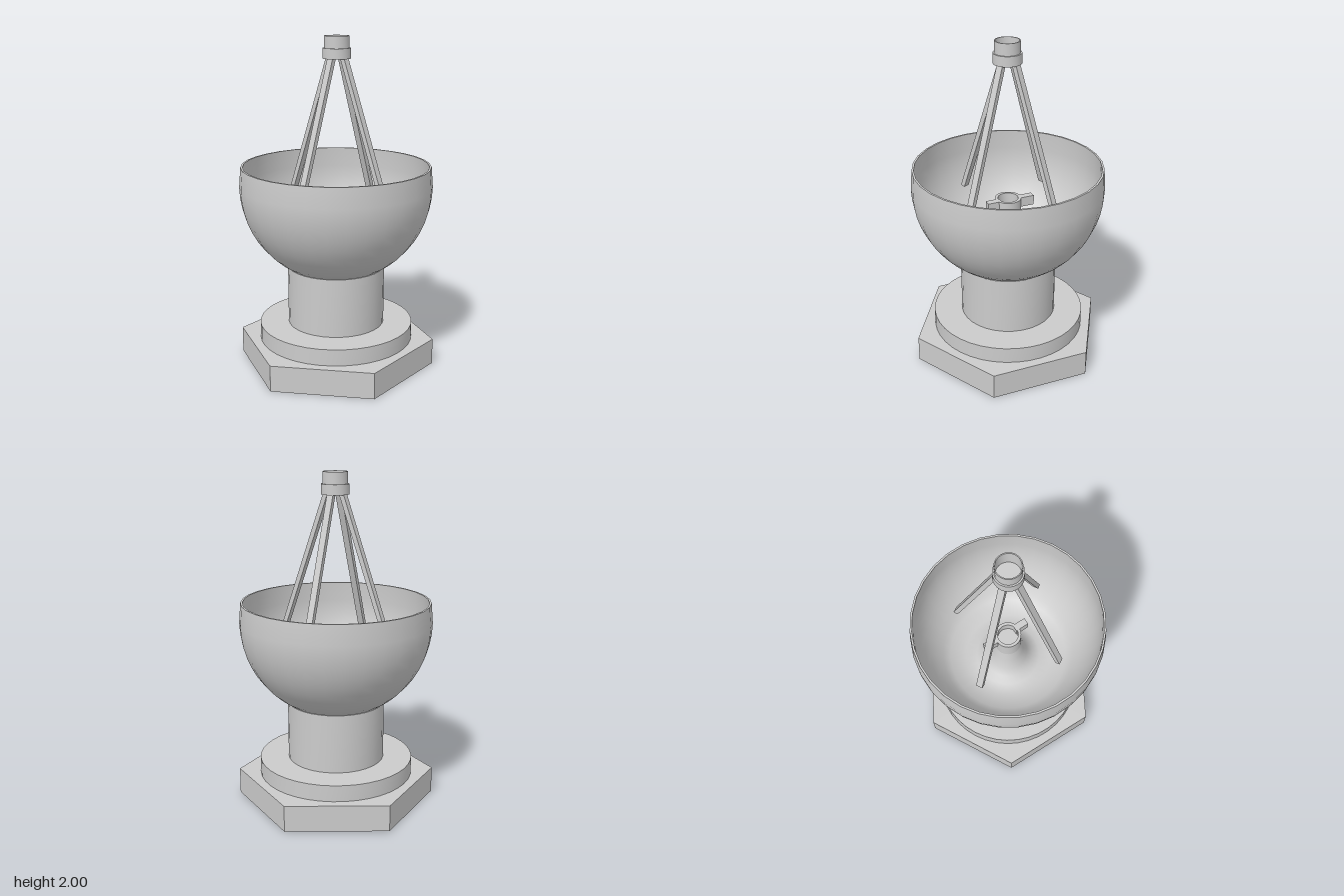
import * as THREE from 'three';
import { toCreasedNormals } from 'three/addons/utils/BufferGeometryUtils.js';

const material = new THREE.MeshStandardMaterial({ color: 0xcccccc });
const openMaterial = new THREE.MeshStandardMaterial({ color: 0xcccccc, side: THREE.DoubleSide });

export function createModel() {
  const model = new THREE.Group();

  const add = (name, geometry, mat = material) => {
    const mesh = new THREE.Mesh(geometry, mat);
    mesh.name = name;
    model.add(mesh);
    return mesh;
  };
  // Solid cylinder between two heights
  const drum = (name, radius, y0, y1, sides) => {
    const geometry = new THREE.CylinderGeometry(radius, radius, y1 - y0, sides);
    geometry.translate(0, (y0 + y1) / 2, 0);
    return add(name, toCreasedNormals(geometry, 0.6));
  };
  // Turned part from [radius, height] pairs
  const turned = (name, points, sides, crease = 0.7) => {
    const profile = points.map(([r, y]) => new THREE.Vector2(r, y));
    return add(name, toCreasedNormals(new THREE.LatheGeometry(profile, sides), crease), openMaterial);
  };

  // Stepped pedestal: a corner of the hexagon points to the front
  drum('hexagonalBase', 0.605, 0, 0.16, 6);
  drum('baseDisc', 0.47, 0.16, 0.26, 40);
  drum('column', 0.295, 0.26, 0.62, 32);

  // Thin bowl: spherical outside, flatter floor rising to a central hump inside
  const centreY = 1.12;
  const arc = (radius, fromAngle, toAngle, steps) =>
    Array.from({ length: steps + 1 }, (_, i) => {
      const a = fromAngle + ((toAngle - fromAngle) * i) / steps;
      return [radius * Math.cos(a), centreY + radius * Math.sin(a)];
    });
  turned('bowl', [
    [0, 0.62],
    ...arc(0.578, -1.045, 0, 9),
    [0.568, 1.24], [0.556, 1.24],
    ...arc(0.562, 0, -0.86, 8),
    [0.27, 0.665], [0.2, 0.665], [0.155, 0.69], [0.12, 0.74], [0.095, 0.82], [0.075, 0.92], [0, 0.92],
  ], 32, 0.8);

  // Central socket with an open top and a cross lug
  turned('socket', [
    [0, 0.9], [0.08, 0.9], [0.08, 1.03], [0.062, 1.03], [0.062, 0.97], [0, 0.97],
  ], 24);
  for (const side of [-1, 1]) {
    const lug = add('socketLug', new THREE.BoxGeometry(0.085, 0.06, 0.042));
    const angle = 0.5;
    lug.position.set(side * 0.106 * Math.cos(angle), 1.0, side * 0.106 * Math.sin(angle) - 0.015);
    lug.rotation.y = -angle;
  }

  // Four struts leaning in to the receiver: direction, foot offset, head offset
  const struts = [
    [1, 0, 0.372, 0.06],
    [-1, 0, 0.352, 0.045],
    [0, 1, 0.343, 0.04],
    [0, -1, 0.35, 0.055],
  ];
  for (const [dx, dz, footOut, headOut] of struts) {
    const foot = new THREE.Vector3(dx * footOut, 1.015, dz * footOut);
    const head = new THREE.Vector3(dx * headOut, 1.875, dz * headOut);
    const along = head.clone().sub(foot);
    const size = dx ? [0.028, 0.04] : [0.04, 0.028];
    const strut = add('strut', new THREE.BoxGeometry(size[0], along.length(), size[1]));
    strut.position.copy(foot).add(head).multiplyScalar(0.5);
    strut.quaternion.setFromUnitVectors(new THREE.Vector3(0, 1, 0), along.normalize());
  }

  // Receiver cup: wide collar, narrower open mouth
  const receiver = turned('receiver', [
    [0, 1.87], [0.083, 1.87], [0.083, 1.93], [0.074, 1.93], [0.074, 2],
    [0.068, 2], [0.068, 1.9], [0, 1.9],
  ], 24);
  receiver.position.x = 0.005;

  return model;
}
